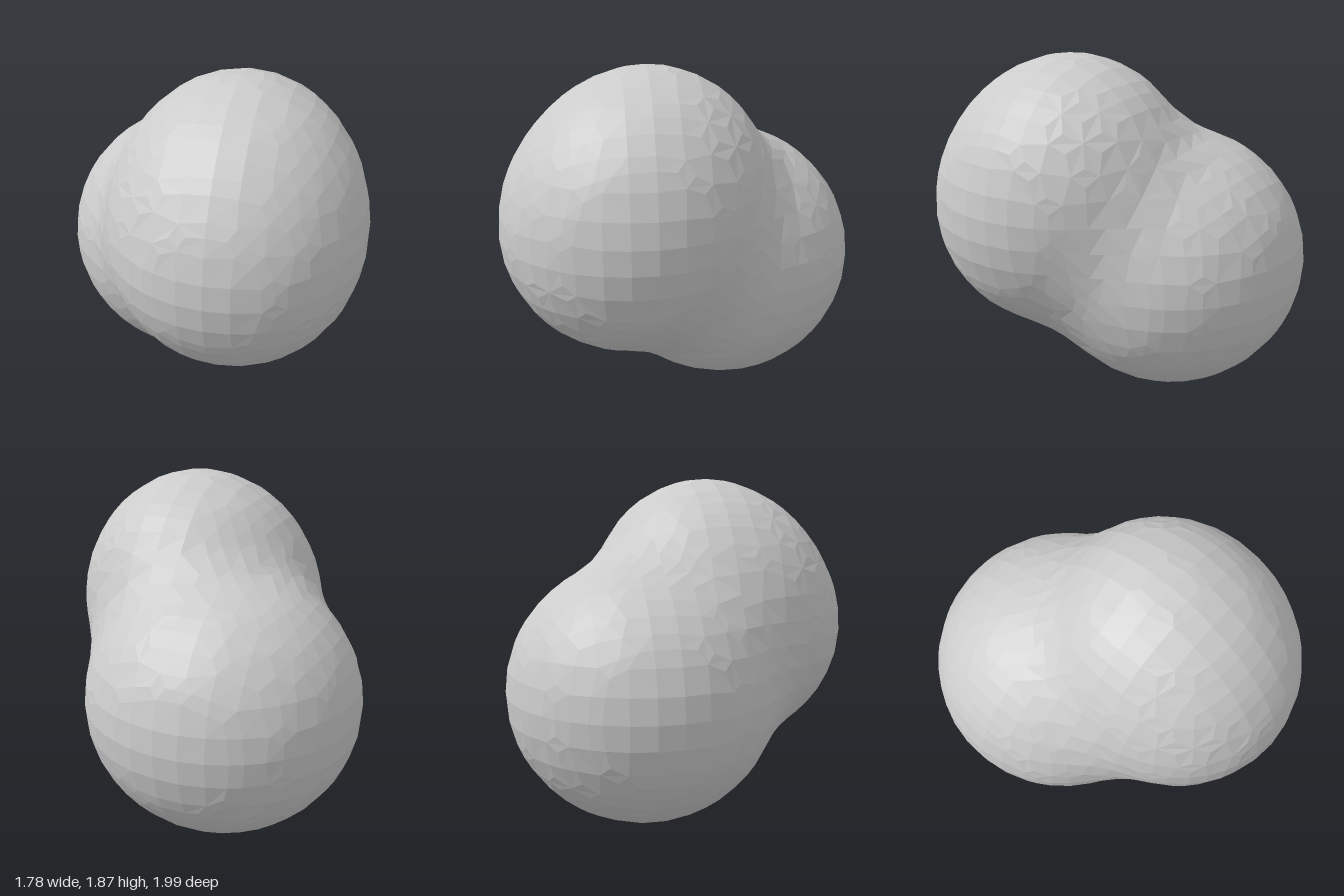
import * as THREE from 'three';

// Overlapping lobes, each a centre and radii: front, crown, rear
const lobes = [
  { c: new THREE.Vector3(0.2, 1.02, 0.3), r: new THREE.Vector3(0.685, 0.69, 0.695) },
  { c: new THREE.Vector3(0.2, 1.22, 0.18), r: new THREE.Vector3(0.62, 0.65, 0.64) },
  { c: new THREE.Vector3(-0.13, 0.73, -0.25), r: new THREE.Vector3(0.76, 0.73, 0.75) },
];
const BLEND = 0.19;
const STEP = 0.13;
const N = 19;
const ORIGIN = new THREE.Vector3(-1.17, -0.235, -1.17);

// Union that rounds the crease where two lobes meet
function softMin(a, b) {
  const h = Math.max(BLEND - Math.abs(a - b), 0) / BLEND;
  return Math.min(a, b) - (h * h * BLEND) / 4;
}

// Signed field: negative inside
function field(p) {
  return lobes
    .map(({ c, r }) => ((p.clone().sub(c).divide(r).length() - 1) * (r.x + r.y + r.z)) / 3)
    .reduce(softMin);
}

// Slide a point along the gradient onto the surface
function project(p) {
  const e = 0.002;
  for (let n = 0; n < 4; n++) {
    const f = field(p);
    const g = new THREE.Vector3();
    for (let a = 0; a < 3; a++) {
      const q = p.clone();
      q.setComponent(a, q.getComponent(a) + e);
      g.setComponent(a, (field(q) - f) / e);
    }
    p.addScaledVector(g, -f / g.lengthSq());
  }
  return p;
}

// Faceted skin: one vertex per grid cell crossed, one quad per grid edge crossed
function blobGeometry() {
  const stride = [1, N, N * N];
  const points = [];
  const values = [];
  for (let k = 0; k < N; k++)
    for (let j = 0; j < N; j++)
      for (let i = 0; i < N; i++) {
        const p = new THREE.Vector3(i, j, k).multiplyScalar(STEP).add(ORIGIN);
        points.push(p);
        values.push(field(p));
      }

  const cellVertex = new Map();
  const positions = [];
  const index = [];
  const vertexOf = (cell) => {
    if (cellVertex.has(cell)) return cellVertex.get(cell);
    const sum = new THREE.Vector3();
    let count = 0;
    for (let corner = 0; corner < 8; corner++)
      for (let a = 0; a < 3; a++) {
        if (corner & (1 << a)) continue;
        let s = cell;
        for (let b = 0; b < 3; b++) if (corner & (1 << b)) s += stride[b];
        const t = s + stride[a];
        if (values[s] < 0 === values[t] < 0) continue;
        sum.add(points[s].clone().lerp(points[t], values[s] / (values[s] - values[t])));
        count++;
      }
    const p = project(sum.divideScalar(count));
    const id = positions.length / 3;
    positions.push(p.x, p.y, p.z);
    cellVertex.set(cell, id);
    return id;
  };

  for (let k = 1; k < N - 1; k++)
    for (let j = 1; j < N - 1; j++)
      for (let i = 1; i < N - 1; i++) {
        const s = i + j * N + k * N * N;
        for (let a = 0; a < 3; a++) {
          const inside = values[s] < 0;
          if (inside === values[s + stride[a]] < 0) continue;
          const b = stride[(a + 1) % 3];
          const c = stride[(a + 2) % 3];
          const quad = [s, s - b, s - b - c, s - c].map(vertexOf);
          if (!inside) quad.reverse();
          index.push(quad[0], quad[1], quad[2], quad[0], quad[2], quad[3]);
        }
      }

  const geometry = new THREE.BufferGeometry();
  geometry.setAttribute('position', new THREE.Float32BufferAttribute(positions, 3));
  geometry.setIndex(index);
  geometry.computeVertexNormals();
  return geometry;
}

export function createModel() {
  const group = new THREE.Group();
  group.name = 'lobedBoulder';
  const material = new THREE.MeshStandardMaterial({ color: 0xcccccc, flatShading: true });
  const body = new THREE.Mesh(blobGeometry(), material);
  body.name = 'body';
  group.add(body);
  return group;
}
